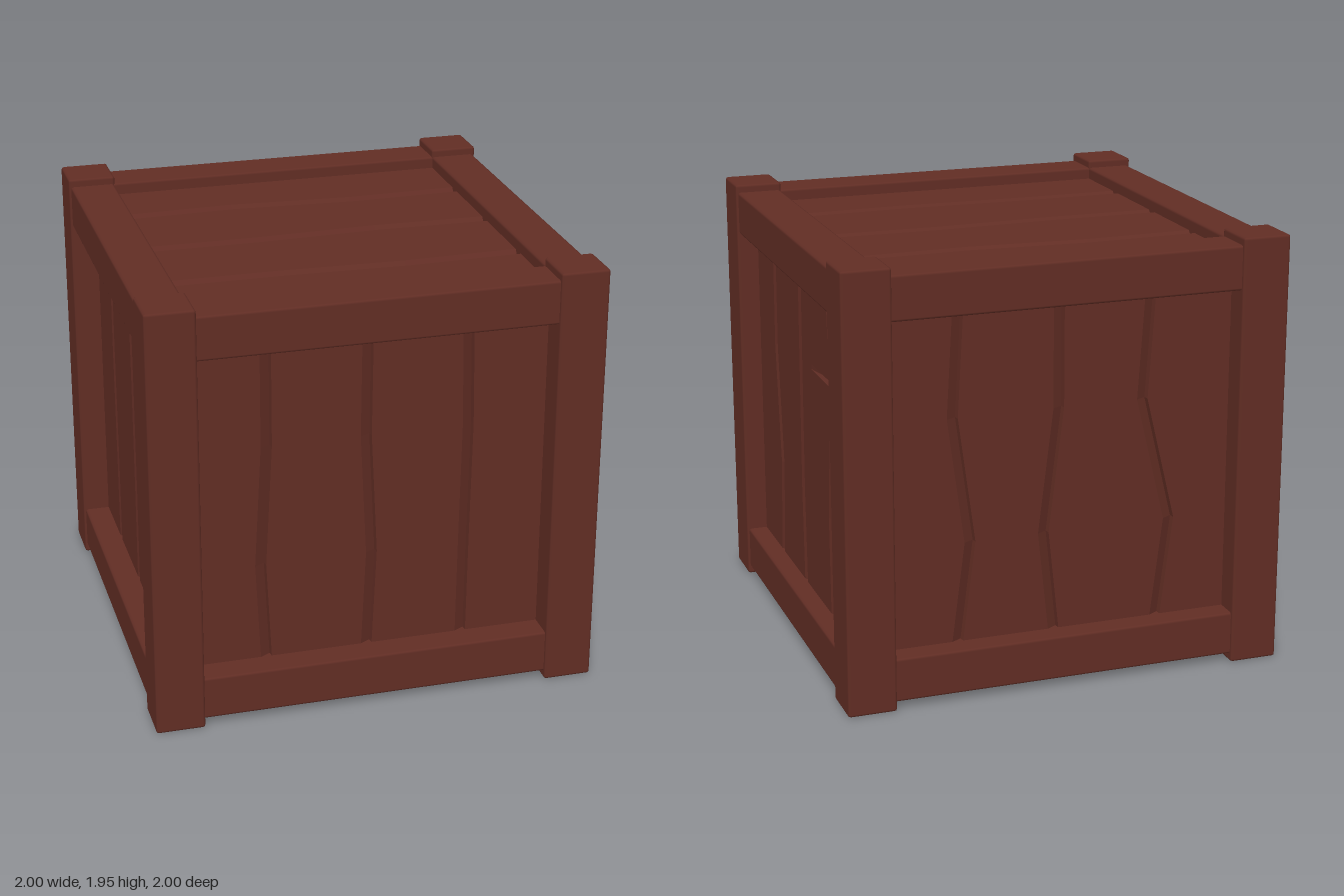
import * as THREE from 'three';
import { RoundedBoxGeometry } from 'three/addons/geometries/RoundedBoxGeometry.js';

const MID = 0.975;                       // height of the crate's centre
const ROWS = [-0.82, -0.29, 0.27, 0.82]; // stations along the planks
const HALF = 0.84;

// Groove sections: width of the near slope, width of the far slope, depth
const STEP = [0.045, 0.004, 0.026], VALLEY = [0.03, 0.036, 0.033];

// Panel of four planks separated by wavy grooves: u runs across, v along, +z out.
// A crack is a tapering notch running from a groove's edge into its plank.
function panelGeometry(grooves, [near, far, deep], crack) {
  const rows = ROWS.map(v => ({ v, depth: 0 }));
  if (crack) {
    for (const d of [-0.022, 0, 0.005]) rows.push({ v: crack.v + d, depth: d === 0 ? deep : 0 });
    rows.sort((a, b) => a.v - b.v);
  }
  const across = (groove, v) => {
    let i = 0;
    while (i < ROWS.length - 2 && v > ROWS[i + 1]) i++;
    return THREE.MathUtils.lerp(groove[i], groove[i + 1], (v - ROWS[i]) / (ROWS[i + 1] - ROWS[i]));
  };
  const sections = rows.map(({ v, depth }) => {
    const line = [[-HALF, v, 0]];
    let previous = -HALF;
    grooves.forEach((groove, j) => {
      const u = across(groove, v);
      const cut = crack && crack.groove === j ? depth : 0;
      line.push([THREE.MathUtils.lerp(previous, u, 0.33), v, 0],
        [u - near, v, -cut], [u, v, -deep], [u + far, v, 0]);
      previous = u;
    });
    line.push([HALF, v, 0]);
    return line;
  });
  const points = [];
  for (let r = 0; r < sections.length - 1; r++) {
    for (let c = 0; c < sections[r].length - 1; c++) {
      const a = sections[r][c], b = sections[r][c + 1];
      const d = sections[r + 1][c], e = sections[r + 1][c + 1];
      points.push(...a, ...b, ...e, ...a, ...e, ...d);
    }
  }
  const geometry = new THREE.BufferGeometry();
  geometry.setAttribute('position', new THREE.Float32BufferAttribute(points, 3));
  geometry.computeVertexNormals();
  return geometry;
}

export function createModel() {
  const crate = new THREE.Group();
  crate.name = 'crate';
  const wood = new THREE.MeshStandardMaterial({ color: 0x612d24 });
  wood.name = 'redBrownWood';

  const beam = (name, size, position) => {
    const mesh = new THREE.Mesh(new RoundedBoxGeometry(...size, 1, 0.012), wood);
    mesh.name = name;
    mesh.position.set(...position);
    crate.add(mesh);
  };

  // Corner posts
  for (const x of [-1, 1]) for (const z of [-1, 1]) {
    beam('cornerPost', [0.218, 1.95, 0.218], [x * 0.891, MID, z * 0.891]);
  }

  // Top and bottom rails between the posts
  for (const side of [-1, 1]) for (const level of [-1, 1]) {
    const y = MID + level * 0.84;
    beam('crossRail', [1.6, 0.198, 0.2], [0, y, side * 0.885]);
    beam('sideRail', [0.204, 0.198, 1.6], [side * 0.887, y, 0]);
  }

  // Plank panels: across, along and outward axes, distance from the centre, grooves
  const X = [1, 0, 0], Y = [0, 1, 0], Z = [0, 0, 1];
  const NX = [-1, 0, 0], NY = [0, -1, 0], NZ = [0, 0, -1];
  const panels = [
    { name: 'frontPlanks', axes: [X, Y, Z], out: 0.862, section: STEP, grooves: [
      [-0.45, -0.475, -0.445, -0.445], [0, 0.023, -0.005, 0], [0.44, 0.445, 0.453, 0.443]] },
    { name: 'rightPlanks', axes: [NZ, Y, X], out: 0.902, section: STEP,
      crack: { v: 0.35, groove: 2 }, grooves: [
        [-0.435, -0.39, -0.455, -0.445], [-0.005, -0.02, -0.01, 0], [0.445, 0.435, 0.493, 0.455]] },
    { name: 'backPlanks', axes: [NX, Y, NZ], out: 0.883, section: STEP, grooves: [
      [-0.46, -0.393, -0.47, -0.44], [0, -0.058, 0.009, 0.007], [0.465, 0.53, 0.395, 0.43]] },
    { name: 'leftPlanks', axes: [Z, Y, NX], out: 0.875, section: STEP, grooves: [
      [-0.42, -0.42, -0.43, -0.42], [0.02, 0.03, 0.03, 0.02], [0.43, 0.46, 0.44, 0.41]] },
    { name: 'topPlanks', axes: [Z, X, Y], out: 0.885, section: VALLEY, grooves: [
      [-0.452, -0.468, -0.432, -0.445], [0, 0.003, -0.018, -0.005], [0.443, 0.443, 0.462, 0.447]] },
    { name: 'bottomPlanks', axes: [X, Z, NY], out: 0.865, section: VALLEY,
      crack: { v: 0.33, groove: 2 }, grooves: [
        [-0.45, -0.47, -0.44, -0.45], [0, 0.02, -0.02, 0], [0.44, 0.42, 0.46, 0.44]] },
  ];
  for (const { name, axes, out, section, grooves, crack } of panels) {
    const [u, v, n] = axes.map(a => new THREE.Vector3(...a));
    const mesh = new THREE.Mesh(panelGeometry(grooves, section, crack), wood);
    mesh.name = name;
    mesh.quaternion.setFromRotationMatrix(new THREE.Matrix4().makeBasis(u, v, n));
    mesh.position.copy(n).multiplyScalar(out);
    mesh.position.y += MID;
    crate.add(mesh);
  }
  return crate;
}
